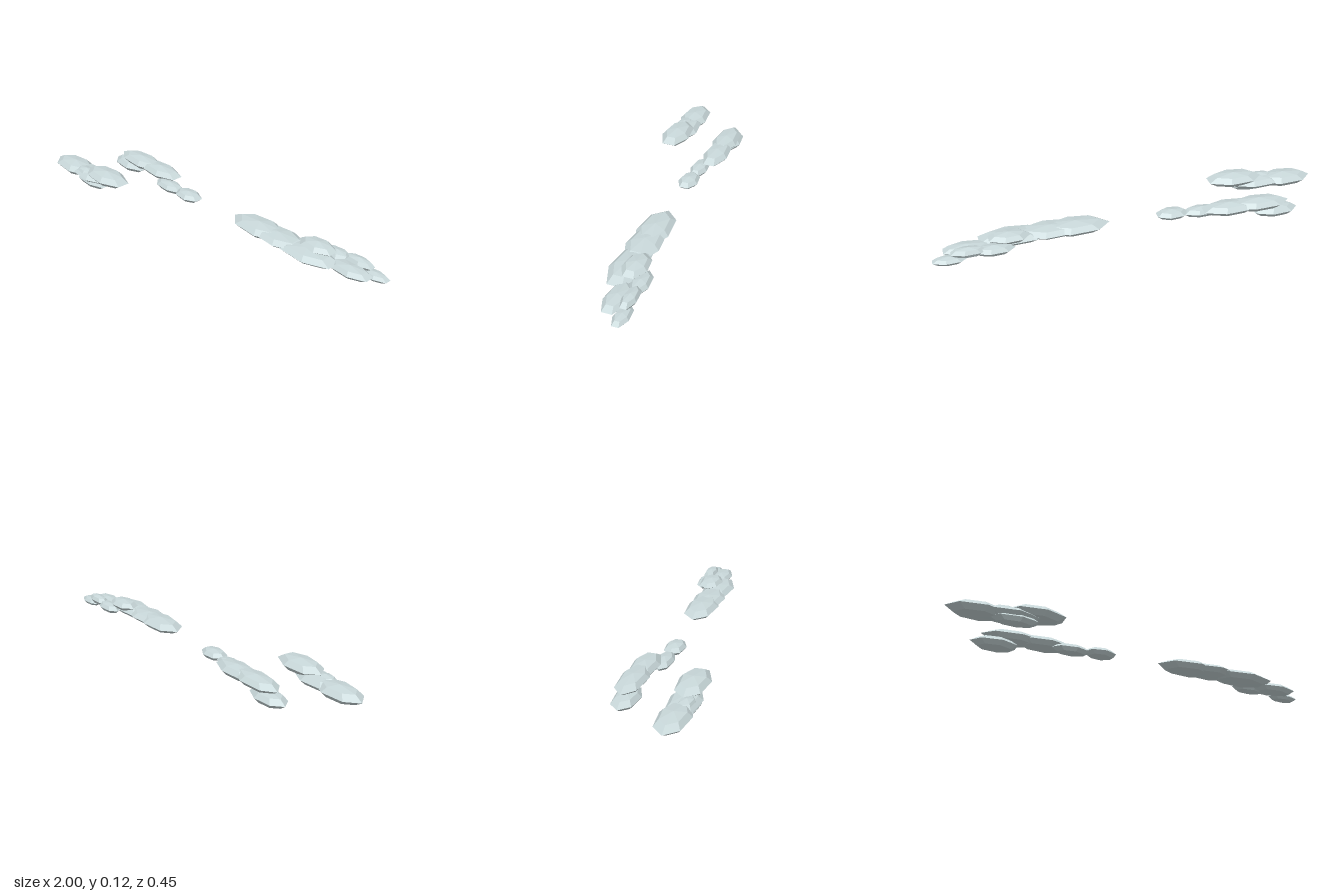
import * as THREE from 'three';

// Three drifting cloud banks made of flattened, faceted puffs.
// Each puff: [x, y, z, radiusX, radiusY, radiusZ]
const BANKS = {
  frontLeftCloud: [
    [-0.85, 0.053, 0.15, 0.15, 0.034, 0.076],
    [-0.70, 0.055, 0.15, 0.15, 0.030, 0.076],
    [-0.575, 0.084, 0.15, 0.15, 0.034, 0.076],
    [-0.73, 0.063, 0.168, 0.075, 0.026, 0.042],
    [-0.68, 0.031, 0.167, 0.12, 0.028, 0.047],
  ],
  backLeftCloud: [
    [-0.70, 0.031, -0.115, 0.12, 0.031, 0.062],
    [-0.61, 0.078, -0.118, 0.16, 0.031, 0.066],
    [-0.46, 0.074, -0.118, 0.15, 0.031, 0.066],
    [-0.33, 0.046, -0.07, 0.10, 0.026, 0.046],
    [-0.18, 0.051, -0.066, 0.085, 0.025, 0.052],
  ],
  rightCloud: [
    [0.31, 0.063, -0.083, 0.17, 0.032, 0.082],
    [0.43, 0.062, -0.083, 0.17, 0.028, 0.084],
    [0.61, 0.055, -0.083, 0.18, 0.030, 0.084],
    [0.635, 0.082, -0.128, 0.105, 0.027, 0.062],
    [0.71, 0.053, -0.18, 0.10, 0.025, 0.045],
    [0.83, 0.045, -0.125, 0.125, 0.026, 0.058],
    [0.83, 0.063, -0.185, 0.09, 0.025, 0.036],
    [0.92, 0.033, -0.187, 0.085, 0.020, 0.038],
  ],
};

export function createModel() {
  const model = new THREE.Group();
  model.name = 'clouds';
  const mist = new THREE.MeshStandardMaterial({ color: 0xc9d8da, flatShading: true });
  mist.name = 'pale mist';

  // Seven-sided ball shared by every puff
  const ball = new THREE.SphereGeometry(1, 7, 4);

  for (const [name, puffs] of Object.entries(BANKS)) {
    const bank = new THREE.Group();
    bank.name = name;
    puffs.forEach(([x, y, z, rx, ry, rz], i) => {
      const puff = new THREE.Mesh(ball, mist);
      puff.name = `puff${i + 1}`;
      puff.position.set(x, y, z);
      puff.scale.set(rx, ry, rz);
      bank.add(puff);
    });
    model.add(bank);
  }
  return model;
}
